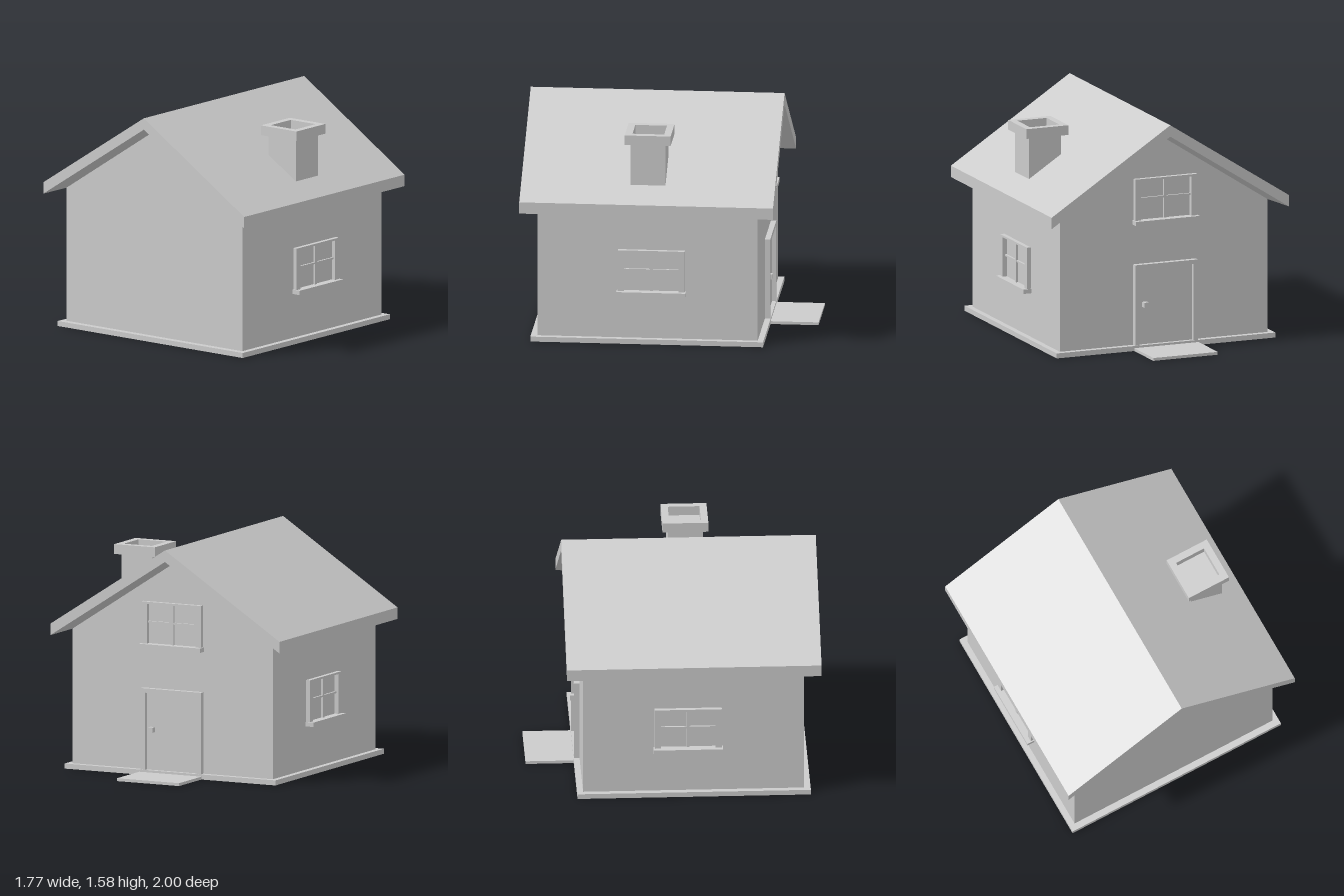
import * as THREE from 'three';

const grey = new THREE.MeshStandardMaterial({ color: 0xcccccc, flatShading: true });
const thin = new THREE.MeshStandardMaterial({ color: 0xcccccc, flatShading: true, side: THREE.DoubleSide });

function add(parent, name, geometry, material = grey) {
  const mesh = new THREE.Mesh(geometry, material);
  mesh.name = name;
  parent.add(mesh);
  return mesh;
}

// Box given by its lower and upper limits on each axis
function box(parent, name, [x0, x1], [y0, y1], [z0, z1]) {
  const mesh = add(parent, name, new THREE.BoxGeometry(x1 - x0, y1 - y0, z1 - z0));
  mesh.position.set((x0 + x1) / 2, (y0 + y1) / 2, (z0 + z1) / 2);
  return mesh;
}

// Quads of the +x half, mirrored to -x with reversed corner order
function mirroredQuads(quads) {
  const pos = [];
  for (const side of [1, -1]) {
    for (const quad of quads) {
      const q = side > 0 ? quad : [...quad].reverse();
      for (const k of [0, 1, 2, 0, 2, 3]) pos.push(q[k][0] * side, q[k][1], q[k][2]);
    }
  }
  const geo = new THREE.BufferGeometry();
  geo.setAttribute('position', new THREE.Float32BufferAttribute(pos, 3));
  geo.computeVertexNormals();
  return geo;
}

function rectPath(PathType, x0, x1, z0, z1) {
  return new PathType([[x0, -z1], [x1, -z1], [x1, -z0], [x0, -z0]].map(p => new THREE.Vector2(...p)));
}

// Flat rectangular ring lying in the ground plane, rising from y = 0
function ring(outer, inner, height) {
  const shape = rectPath(THREE.Shape, ...outer);
  shape.holes.push(rectPath(THREE.Path, ...inner));
  return new THREE.ExtrudeGeometry(shape, { depth: height, bevelEnabled: false }).rotateX(-Math.PI / 2);
}

// Window facing +z, origin at the bottom centre of the sill on the wall
function makeWindow(name) {
  const g = new THREE.Group();
  g.name = name;
  box(g, 'sill', [-0.238, 0.238], [0, 0.03], [0, 0.06]);
  for (const s of [-1, 1]) {
    box(g, 'frameSide', [s * 0.209 - 0.021, s * 0.209 + 0.021], [0.03, 0.32], [0, 0.03]);
  }
  box(g, 'frameTop', [-0.188, 0.188], [0.306, 0.32], [0, 0.03]);
  box(g, 'verticalBar', [-0.01, 0.01], [0.03, 0.306], [0, 0.015]);
  box(g, 'crossBar', [-0.188, 0.188], [0.173, 0.185], [0, 0.014]);
  return g;
}

export function createModel() {
  const house = new THREE.Group();
  house.name = 'house';

  const wallX = 0.775, wallF = 0.885, wallB = -0.63, wallTop = 0.967, wallApex = 1.47;
  const roofX = 0.885, roofF = 1, roofB = -0.745;

  // Walls: hollow shell with gabled ends, open below
  const gable = z => [[0, 0, z], [wallX, 0, z], [wallX, wallTop, z], [0, wallApex, z]];
  const front = gable(wallF), back = gable(wallB);
  add(house, 'walls', mirroredQuads([
    front,
    [...back].reverse(),
    [front[1], back[1], back[2], front[2]],
  ]), thin);

  // Roof: overhanging slab whose soffit slopes in to the wall tops
  const section = (rim, wall) => ({
    T: [0, 1.58, rim], E: [roofX, 1.01, rim], t: [0, 1.5, rim], e: [roofX, 0.93, rim],
    p: [0, wallApex, wall], i: [wallX, wallTop, wall],
  });
  const f = section(roofF, wallF), b = section(roofB, wallB);
  add(house, 'roof', mirroredQuads([
    [f.T, f.E, b.E, b.T], // slope
    [f.E, f.e, b.e, b.E], // eave edge
    [f.T, f.t, f.e, f.E], // front edge
    [b.T, b.E, b.e, b.t], // back edge
    [f.e, f.i, b.i, b.e], // eave soffit
    [f.t, f.p, f.i, f.e], // front soffit
    [b.t, b.e, b.i, b.p], // back soffit
    [f.p, b.p, b.i, f.i], // ceiling
  ]), thin);

  // Base skirt around the walls
  add(house, 'baseSkirt', ring([-0.815, 0.815, -0.67, 0.93], [-wallX, wallX, wallB, wallF], 0.035));

  // Chimney: shaft cut to the roof slope, with a hollow cap
  const chimney = new THREE.Group();
  chimney.name = 'chimney';
  house.add(chimney);
  const shaft = new THREE.Shape([[0.49, 1.24], [0.73, 1.085], [0.73, 1.405], [0.49, 1.405]]
    .map(p => new THREE.Vector2(...p)));
  add(chimney, 'chimneyShaft', new THREE.ExtrudeGeometry(shaft, { depth: 0.24, bevelEnabled: false }))
    .position.z = 0.008;
  add(chimney, 'chimneyCap', ring([0.452, 0.766, -0.03, 0.285], [0.5, 0.718, 0.018, 0.236], 0.068))
    .position.y = 1.403;

  // Windows on both sides and in the back gable
  const windows = [
    ['leftWindow', [wallX, 0.343, 0.1], Math.PI / 2],
    ['rightWindow', [-wallX, 0.335, 0.09], -Math.PI / 2],
    ['gableWindow', [-0.005, 0.88, wallB], Math.PI],
  ];
  for (const [name, position, turn] of windows) {
    const w = makeWindow(name);
    w.position.set(...position);
    w.rotation.y = turn;
    house.add(w);
  }

  // Door with frame and knob
  const door = new THREE.Group();
  door.name = 'door';
  house.add(door);
  box(door, 'doorPanel', [-0.205, 0.195], [0.03, 0.57], [-0.64, -0.62]);
  box(door, 'doorFrameLeft', [0.195, 0.228], [0.03, 0.6], [-0.667, -0.62]);
  box(door, 'doorFrameRight', [-0.238, -0.205], [0.03, 0.6], [-0.667, -0.62]);
  box(door, 'doorFrameTop', [-0.205, 0.195], [0.57, 0.6], [-0.667, -0.62]);
  box(door, 'doorKnob', [0.13, 0.165], [0.298, 0.333], [-0.677, -0.64]);

  // Path slab in front of the door
  box(house, 'pathSlab', [-0.243, 0.237], [0, 0.02], [-1, -0.665]);

  return house;
}
